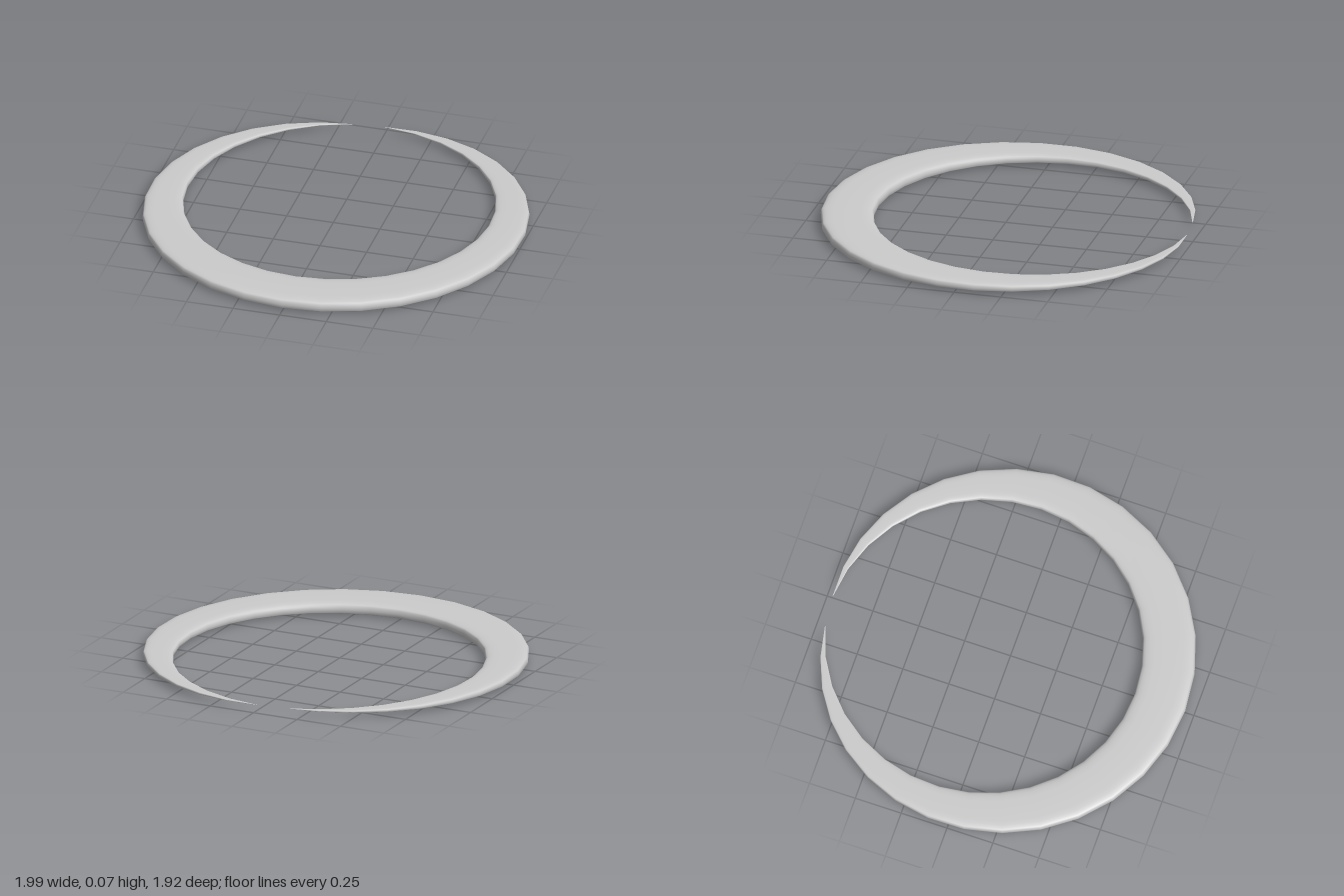
import * as THREE from 'three';

const SEGMENTS = 31;              // steps along the crescent
const STEP = Math.PI / 16;        // one step of a 32-sided circle is left open
const SIDES = 24;                 // points round the cross-section
const CENTRE = { x: -0.003, y: 0.035, z: -0.107 };

// Rounded-box curve: like sin or cos, but with flatter sides
const soften = (v) => Math.sign(v) * Math.sqrt(Math.abs(v));

// Open ring whose cross-section swells at the front and tapers to two tips
function crescentGeometry() {
  const positions = [];
  const index = [];
  for (let j = 0; j <= SEGMENTS; j++) {
    const angle = (j - 15) * STEP;
    const swell = Math.max(0.008, Math.sin((Math.PI * j) / SEGMENTS));
    const middle = 0.861 + 0.062 * swell * (0.75 + 0.25 * swell);
    for (let k = 0; k < SIDES; k++) {
      const phi = (k / SIDES) * Math.PI * 2;
      const radius = middle + 0.138 * swell * soften(Math.cos(phi));
      positions.push(
        CENTRE.x + radius * Math.sin(angle),
        CENTRE.y + 0.034 * swell * soften(Math.sin(phi)),
        CENTRE.z + radius * Math.cos(angle)
      );
      if (j < SEGMENTS) {
        const next = (k + 1) % SIDES;
        const a = j * SIDES + k, b = a + SIDES;
        const c = j * SIDES + next, d = c + SIDES;
        index.push(a, b, c, b, d, c);
      }
    }
  }
  const geometry = new THREE.BufferGeometry();
  geometry.setAttribute('position', new THREE.Float32BufferAttribute(positions, 3));
  geometry.setIndex(index);
  geometry.computeVertexNormals();
  return geometry;
}

export function createModel() {
  const group = new THREE.Group();
  group.name = 'crescentRing';
  const material = new THREE.MeshStandardMaterial({ color: 0xcccccc });
  const crescent = new THREE.Mesh(crescentGeometry(), material);
  crescent.name = 'crescent';
  group.add(crescent);
  return group;
}
